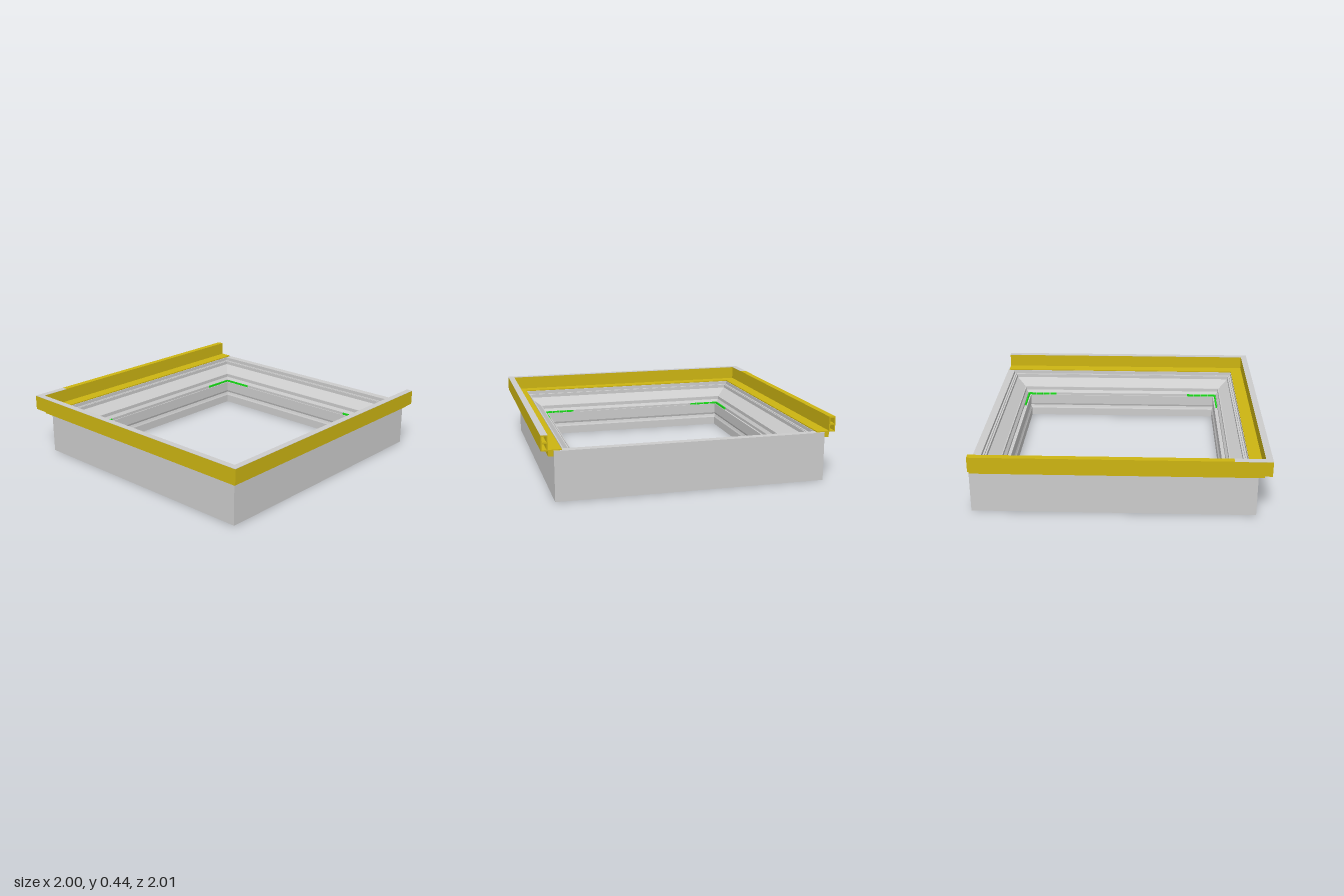
import * as THREE from 'three';

const grey = new THREE.MeshStandardMaterial({ color: 0xcccccc });
const gold = new THREE.MeshStandardMaterial({ color: 0xccb412 });
const green = new THREE.MeshStandardMaterial({ color: 0x18e018 });

const BACK = 0.085;     // the back side sits this much further out than the others
const RAIL_END = 0.995; // open ends of the three-sided rail

const vectors = (pts) => pts.map(([d, y]) => new THREE.Vector2(d, y));

// Sweep a section (outward offset, height) round the mitred corners of the frame.
function sweep(name, section, holes, closed, material) {
  const shape = new THREE.Shape(vectors(section));
  holes.forEach((h) => shape.holes.push(new THREE.Path(vectors(h))));
  const steps = closed ? 4 : 3;
  let geo = new THREE.ExtrudeGeometry(shape, { depth: steps, steps, bevelEnabled: false });
  if (closed) { // a closed ring needs no end faces
    const side = geo.groups[1];
    const kept = geo.attributes.position.array.slice(side.start * 3, (side.start + side.count) * 3);
    geo = new THREE.BufferGeometry();
    geo.setAttribute('position', new THREE.BufferAttribute(kept, 3));
  }
  geo.clearGroups();
  const pos = geo.attributes.position;
  for (let i = 0; i < pos.count; i++) {
    const d = pos.getX(i);
    const corner = Math.round(pos.getZ(i)) % 4;
    const rear = closed ? -(d + BACK) : -RAIL_END;
    const x = corner < 2 ? d : -d;
    const z = corner === 1 || corner === 2 ? d : rear;
    pos.setXYZ(i, x, pos.getY(i), z);
  }
  geo.computeVertexNormals();
  const mesh = new THREE.Mesh(geo, material);
  mesh.name = name;
  return mesh;
}

// Box given by its extents.
function box(name, x0, x1, y0, y1, z0, z1, material) {
  const mesh = new THREE.Mesh(new THREE.BoxGeometry(x1 - x0, y1 - y0, z1 - z0), material);
  mesh.position.set((x0 + x1) / 2, (y0 + y1) / 2, (z0 + z1) / 2);
  mesh.name = name;
  return mesh;
}

// Row of short green clips along both sides of one inner corner.
function cornerClip(sx, sz) {
  const clip = new THREE.Group();
  clip.name = 'cornerClip';
  const x = 0.732 * sx;
  const z = sz > 0 ? 0.732 : -0.732 - BACK;
  for (let i = 0; i < 4; i++) {
    const mid = 0.028 + i * 0.058;
    const along = new THREE.Mesh(new THREE.BoxGeometry(0.052, 0.02, 0.01), green);
    along.position.set(x - sx * mid, 0.177, z);
    const across = new THREE.Mesh(new THREE.BoxGeometry(0.01, 0.02, 0.052), green);
    across.position.set(x, 0.177, z - sz * mid);
    clip.add(along, across);
  }
  return clip;
}

export function createModel() {
  const model = new THREE.Group();
  model.name = 'roofWindowFrame';

  // Stepped base frame with a sloped inner shelf and seal grooves
  model.add(sweep('baseFrame', [
    [0.71, 0], [0.92, 0], [0.92, 0.335], [0.865, 0.335],
    [0.865, 0.31], [0.853, 0.31], [0.853, 0.3], [0.846, 0.3], [0.846, 0.31], [0.838, 0.31],
    [0.838, 0.285], [0.765, 0.23], [0.757, 0.23], [0.757, 0.205], [0.742, 0.185],
    [0.742, 0.165], [0.722, 0.165], [0.722, 0.175], [0.715, 0.175],
    [0.715, 0.1], [0.72, 0.085], [0.715, 0.07], [0.71, 0.06],
  ], [], true, grey));

  // Three-sided rail: hollow upright, top flange and outer lip
  const chamber = (y0, y1) => [[0.963, y0], [0.963, y1], [0.992, y1], [0.992, y0]];
  model.add(sweep('edgeRail', [
    [0.868, 0.336], [0.921, 0.336], [0.921, 0.3], [0.955, 0.3], [0.955, 0.335],
    [1, 0.335], [1, 0.438], [0.955, 0.438], [0.955, 0.343], [0.868, 0.343],
  ], [chamber(0.343, 0.382), chamber(0.392, 0.43)], false, gold));

  // Cover strips on top of the rail
  const strip = (name, x0, x1, z0, z1, mat) => model.add(box(name, x0, x1, 0.438, 0.44, z0, z1, mat));
  strip('frontCover', -1, 1, 0.955, 1, grey);
  strip('leftCover', 0.955, 1, -RAIL_END, 0.955, grey);
  strip('rightCover', -1, -0.955, 0.75, 0.955, grey);
  strip('rightRailTop', -1, -0.955, -RAIL_END, 0.75, gold);

  // Green clips in the four inner corners
  for (const sx of [-1, 1]) for (const sz of [-1, 1]) model.add(cornerClip(sx, sz));

  return model;
}
